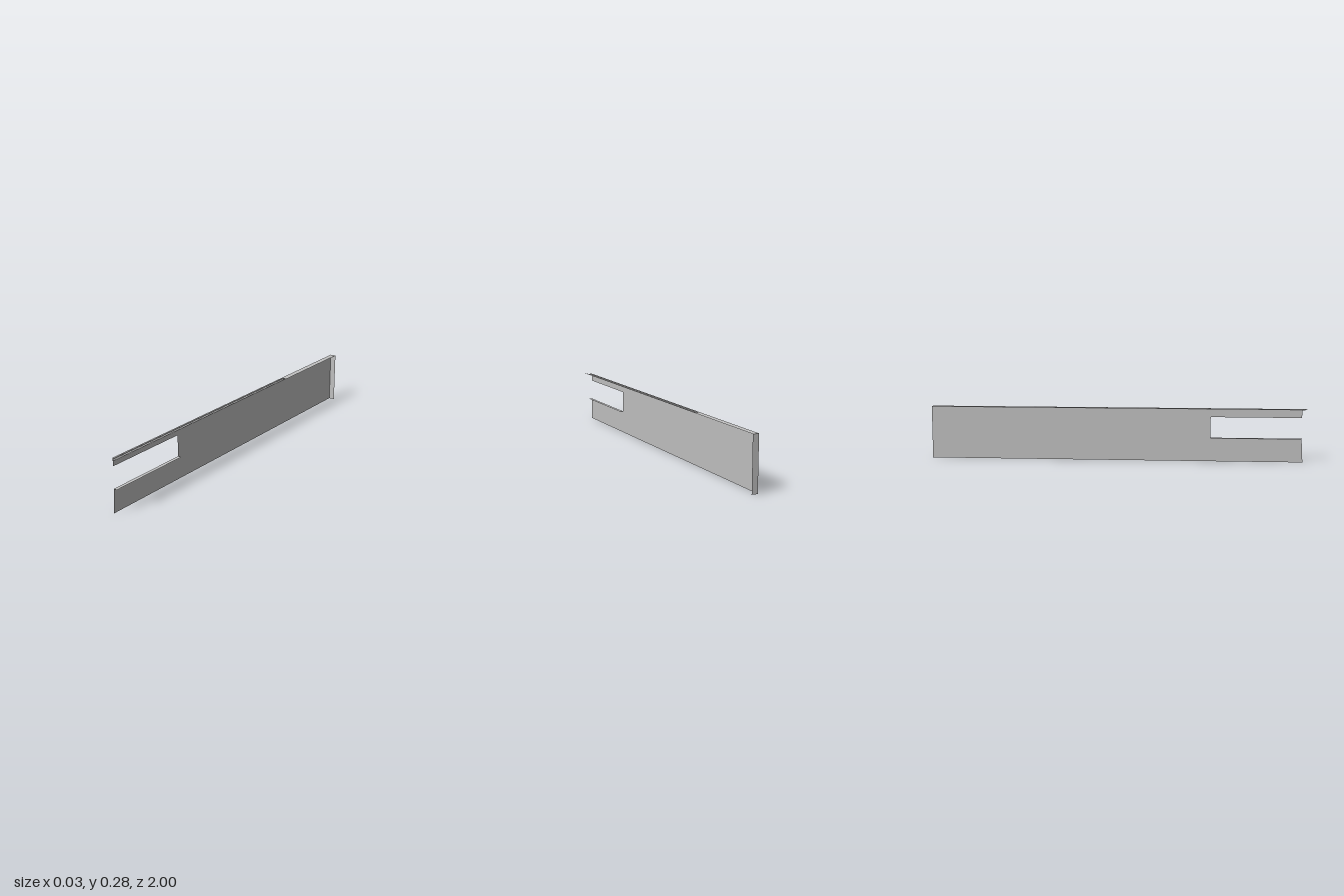
import * as THREE from 'three';

const X0 = -0.016, X1 = 0.016, TOP = 0.278, BACK = -1;

const steel = new THREE.MeshStandardMaterial({ color: 0xc0c0c0, side: THREE.DoubleSide });
steel.name = 'galvanised grey';

// Folded sheet: an [x, y] profile swept along z, with a mitred front end
function foldedSheet(name, profile, zBack, zFront) {
  const pos = [];
  for (let i = 0; i < profile.length - 1; i++) {
    const [ax, ay] = profile[i], [bx, by] = profile[i + 1];
    const a0 = [ax, ay, zBack], a1 = [ax, ay, zFront(ax)];
    const b0 = [bx, by, zBack], b1 = [bx, by, zFront(bx)];
    pos.push(...a0, ...a1, ...b1, ...a0, ...b1, ...b0);
  }
  const geometry = new THREE.BufferGeometry();
  geometry.setAttribute('position', new THREE.Float32BufferAttribute(pos, 3));
  geometry.computeVertexNormals();
  const mesh = new THREE.Mesh(geometry, steel);
  mesh.name = name;
  return mesh;
}

export function createModel() {
  const group = new THREE.Group();
  group.name = 'sheetMetalPanel';

  // Web plate with an open notch at the front, drawn in (-z, y)
  const outline = [
    [1, 0], [1, TOP], [-0.967, TOP], [-0.967, 0.235],
    [-0.492, 0.235], [-0.492, 0.123], [-0.967, 0.123], [-0.974, 0],
  ].map(([u, v]) => new THREE.Vector2(u, v));
  const plate = new THREE.Mesh(new THREE.ShapeGeometry(new THREE.Shape(outline)), steel);
  plate.name = 'webPlate';
  plate.rotation.y = Math.PI / 2;
  plate.position.x = X0;
  group.add(plate);

  // Flange closing the back end
  const end = new THREE.Mesh(new THREE.PlaneGeometry(X1 - X0, TOP), steel);
  end.name = 'backFlange';
  end.rotation.y = Math.PI;
  end.position.set(0, TOP / 2, BACK);
  group.add(end);

  // Top flange: flat at the back, with a shallow pressed groove further forward
  const mitre = (reach) => (x) => 0.967 + reach * (x - X0) / (X1 - X0);
  group.add(foldedSheet('topFlange', [[X0, TOP], [X1, TOP]], BACK, () => -0.45));
  group.add(foldedSheet('groovedTopFlange', [
    [X0, TOP], [-0.007, TOP], [-0.007, TOP - 0.004],
    [0.007, TOP - 0.004], [0.007, TOP], [X1, TOP],
  ], -0.45, mitre(0.033)));

  // Ledge along the lower edge of the notch
  group.add(foldedSheet('notchLedge', [[X0, 0.123], [0.004, 0.123]], 0.492, mitre(0.008)));

  return group;
}
